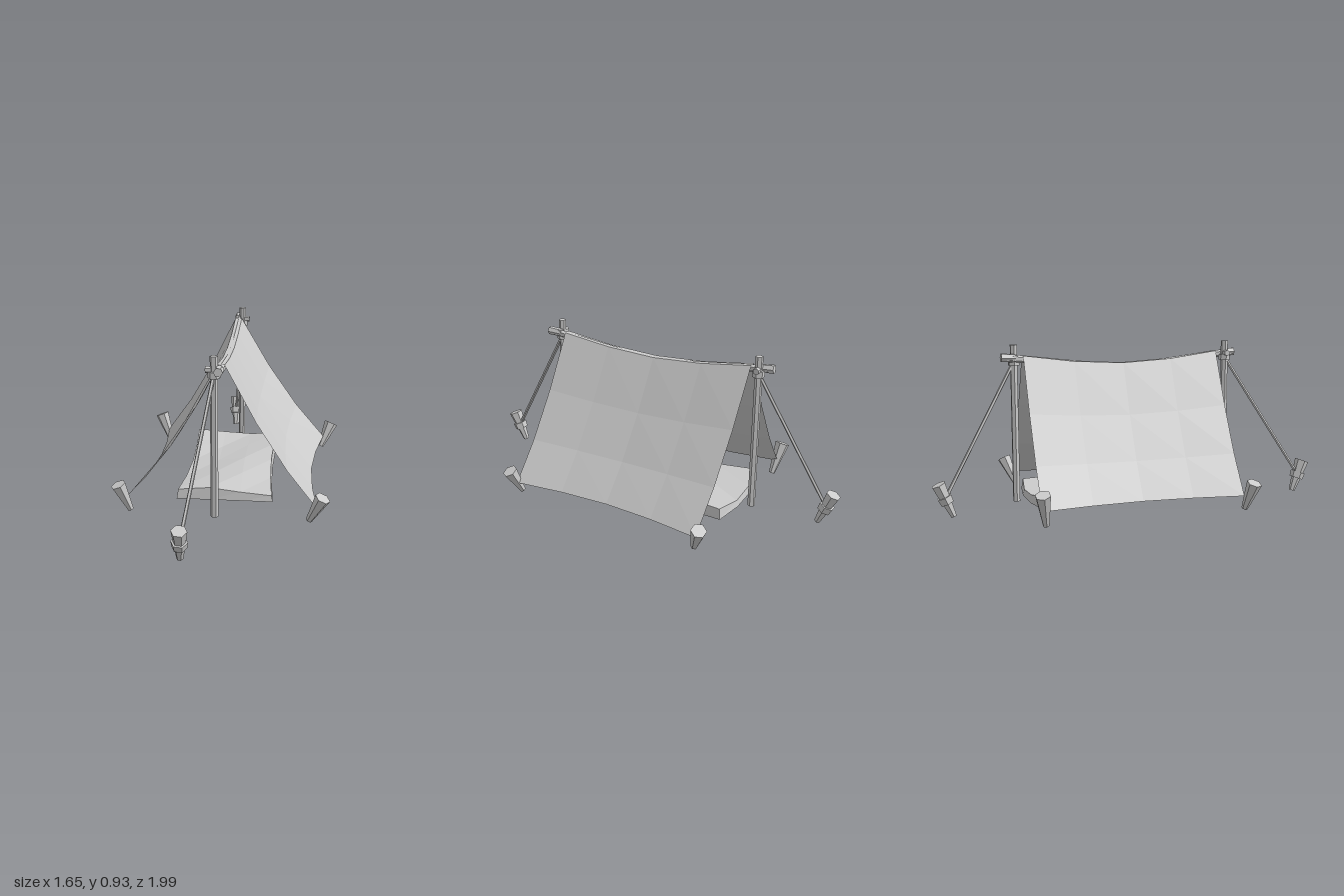
import * as THREE from 'three';

const V = (x, y, z) => new THREE.Vector3(x, y, z);
const material = new THREE.MeshStandardMaterial({ color: 0xcccccc, flatShading: true });
const clothMaterial = new THREE.MeshStandardMaterial({ color: 0xcccccc, flatShading: true, side: THREE.DoubleSide });

function named(name, geometry, mat = material) {
  const mesh = new THREE.Mesh(geometry, mat);
  mesh.name = name;
  return mesh;
}

// Tapered six-sided rod running from a (radius ra) to b (radius rb)
function rod(name, a, b, ra, rb = ra, sides = 6) {
  const mesh = named(name, new THREE.CylinderGeometry(rb, ra, a.distanceTo(b), sides));
  mesh.position.copy(a).lerp(b, 0.5);
  mesh.quaternion.setFromUnitVectors(V(0, 1, 0), b.clone().sub(a).normalize());
  return mesh;
}

// Grid of nu x nv cells whose corners are placed by a rule
function sheet(nu, nv, rule) {
  const geometry = new THREE.PlaneGeometry(1, 1, nu, nv);
  const pos = geometry.attributes.position;
  for (let j = 0; j <= nv; j++) {
    for (let i = 0; i <= nu; i++) {
      const p = rule(i, j);
      pos.setXYZ(j * (nu + 1) + i, p.x, p.y, p.z);
    }
  }
  geometry.computeVertexNormals();
  return geometry;
}

export function createModel() {
  const tent = new THREE.Group();
  tent.name = 'tent';

  // Directions along the ridge (towards the front) and across it
  const along = V(0.54, 0, 0.84);
  const across = V(0.84, 0, -0.54);

  // Canvas: two sagging slopes joined by a narrow strip over the ridge
  const ridgeBack = V(-0.335, 0.88, -0.57);
  const ridgeFront = V(0.3, 0.88, 0.42);
  const ridgeAt = (u) => {
    const p = ridgeBack.clone().lerp(ridgeFront, u);
    p.y -= 0.055 * Math.sin(Math.PI * u);
    return p;
  };
  const hems = {
    1: [V(0.17, 0.105, -0.84), V(0.76, 0.105, 0.17)],
    [-1]: [V(-0.74, 0.105, -0.33), V(-0.17, 0.105, 0.66)],
  };
  const canvasPoint = (u, t, side) => {
    const top = ridgeAt(u).addScaledVector(across, side * 0.02);
    const hem = hems[side][0].clone().lerp(hems[side][1], u);
    const bow = Math.sin(Math.PI * u);
    hem.addScaledVector(across, -side * 0.055 * bow);
    const p = top.clone().lerp(hem, t);
    p.y -= 0.07 * 4 * t * (1 - t) * (top.y - hem.y);
    return p;
  };
  tent.add(named('canvas', sheet(7, 4, (i, j) => {
    const side = i < 4 ? -1 : 1;
    const t = side < 0 ? (3 - i) / 3 : (i - 4) / 3;
    return canvasPoint(j / 4, t, side);
  }), clothMaterial));

  // Ridge pole sagging under the canvas
  const ridgePath = new THREE.CatmullRomCurve3([
    V(-0.4, 0.87, -0.665), V(-0.335, 0.86, -0.57), V(-0.018, 0.805, -0.075),
    V(0.3, 0.86, 0.42), V(0.36, 0.87, 0.52),
  ]);
  tent.add(named('ridgePole', new THREE.TubeGeometry(ridgePath, 12, 0.021, 6)));
  tent.add(rod('ridgePoleFrontEnd', V(0.32, 0.868, 0.455), V(0.365, 0.872, 0.525), 0.023, 0.025));
  tent.add(rod('ridgePoleBackEnd', V(-0.36, 0.868, -0.605), V(-0.405, 0.872, -0.67), 0.023, 0.025));

  // Upright poles with lashing, guy ropes and rope pegs
  const ends = [
    { name: 'front', pole: V(0.303, 0, 0.48), head: V(0.465, 0.195, 0.955), tip: V(0.42, 0.012, 0.9) },
    { name: 'back', pole: V(-0.34, 0, -0.62), head: V(-0.64, 0.195, -0.955), tip: V(-0.597, 0.012, -0.89) },
  ];
  for (const { name, pole, head, tip } of ends) {
    const at = (y) => V(pole.x, y, pole.z);
    tent.add(rod(name + 'Pole', at(0.05), at(0.94), 0.021));
    tent.add(rod(name + 'PoleLashing', at(0.825), at(0.86), 0.033));
    const cross = rod(name + 'CrossLashing', at(0.868).addScaledVector(across, -0.045),
      at(0.868).addScaledVector(across, 0.045), 0.018);
    tent.add(cross);
    const tie = head.clone().lerp(tip, 0.45);
    tent.add(rod(name + 'GuyRope', at(0.845), tie, 0.01, 0.01, 5));
    tent.add(rod(name + 'RopePeg', tip, head, 0.018, 0.042));
    tent.add(rod(name + 'RopePegLashing', head.clone().lerp(tip, 0.58), head.clone().lerp(tip, 0.38), 0.04, 0.044));
  }

  // Corner pegs, leaning outwards: tip, then head
  const pegs = [
    [V(-0.71, 0.025, -0.32), V(-0.785, 0.205, -0.31)],
    [V(0.165, 0.04, -0.82), V(0.19, 0.185, -0.9)],
    [V(0.72, 0.04, 0.19), V(0.795, 0.185, 0.18)],
    [V(-0.15, 0.03, 0.66), V(-0.185, 0.185, 0.715)],
  ];
  for (const [tip, head] of pegs) tent.add(rod('cornerPeg', tip, head, 0.018, 0.043));

  // Sleeping mat: rumpled top whose outer ring of corners drops to form the sides
  const nu = 5, nv = 6;
  tent.add(named('sleepingMat', sheet(nu, nv, (i, j) => {
    const s = (THREE.MathUtils.clamp(i, 1, nu - 1) - 1) / (nu - 2) * 2 - 1;
    const w = (THREE.MathUtils.clamp(j, 1, nv - 1) - 1) / (nv - 2) * 2 - 1;
    const rim = i === 0 || j === 0 || i === nu || j === nv;
    const width = 0.27 - 0.02 * Math.cos(w * 1.6) - (rim ? 0 : 0.008);
    const length = 0.5 + (w < 0 ? 0.035 * (1 - s * s) : 0) - (rim ? 0 : 0.008);
    const p = V(-0.04, 0, -0.12).addScaledVector(across, s * width).addScaledVector(along, w * length);
    p.y = rim ? 0.06 : 0.112 + 0.018 * Math.sin(2.4 * s + 2.2 * w + 0.3);
    return p;
  }), clothMaterial));

  return tent;
}
